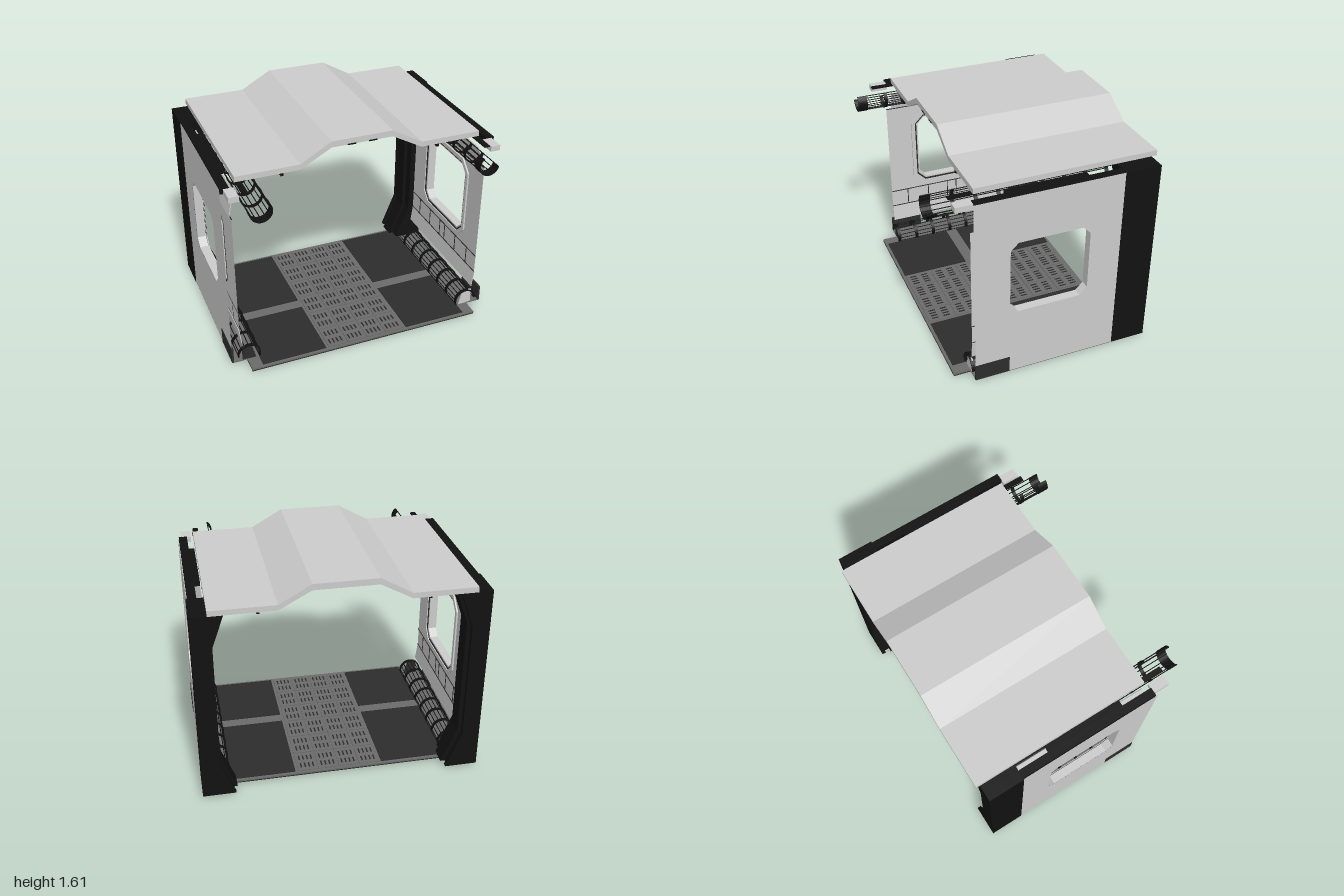
import * as THREE from 'three';

const mat = (color, side = THREE.FrontSide) => new THREE.MeshStandardMaterial({ color, side, flatShading: true });
const grey = mat(0xcccccc), greyThin = mat(0xcccccc, THREE.DoubleSide);
const black = mat(0x111111), blackThin = mat(0x111111, THREE.DoubleSide);
const dark = mat(0x2c2c2c), mid = mat(0x6a6a6a);

function add(parent, name, geometry, material) {
  const mesh = new THREE.Mesh(geometry, material);
  mesh.name = name;
  parent.add(mesh);
  return mesh;
}

// Box given by its limits on each axis
function box(parent, name, material, x0, x1, y0, y1, z0, z1) {
  const g = new THREE.BoxGeometry(x1 - x0, y1 - y0, z1 - z0);
  g.translate((x0 + x1) / 2, (y0 + y1) / 2, (z0 + z1) / 2);
  return add(parent, name, g, material);
}

const points = (list) => list.map(([x, y]) => new THREE.Vector2(x, y));

// Profile in x/y, swept along z
function sweepZ(parent, name, material, profile, z0, z1) {
  const g = new THREE.ExtrudeGeometry(new THREE.Shape(points(profile)), { depth: z1 - z0, bevelEnabled: false });
  g.translate(0, 0, z0);
  return add(parent, name, g, material);
}

// Outline with a chamfer, drawn in (-z, y)
function chamfered(u0, u1, y0, y1, c) {
  return points([[u0 + c, y0], [u1 - c, y0], [u1, y0 + c], [u1, y1 - c],
    [u1 - c, y1], [u0 + c, y1], [u0, y1 - c], [u0, y0 + c]]);
}
const windowOutline = (grow) => chamfered(-0.29 - grow, 0.28 + grow, 0.53 - grow, 1.085 + grow, 0.055 + grow * 0.6);

// Flat part standing in the z/y plane with a window opening
function pierced(parent, name, material, outline, hole, x, depth) {
  const shape = new THREE.Shape(outline);
  shape.holes.push(new THREE.Path(hole));
  const g = depth ? new THREE.ExtrudeGeometry(shape, { depth, bevelEnabled: false }) : new THREE.ShapeGeometry(shape);
  g.rotateY(Math.PI / 2);
  g.translate(x, 0, 0);
  return add(parent, name, g, material);
}

// Open half-round cage of hoops and rods running along z
function cage(parent, name, cx, cy, r, a0, a1, z0, z1, hoops, rods, endWidth) {
  const group = new THREE.Group();
  group.name = name;
  for (let i = 0; i < hoops; i++) {
    const w = i === hoops - 1 ? endWidth : 0.025;
    const z = z0 + (z1 - z0 - endWidth) * i / (hoops - 1);
    const shape = new THREE.Shape();
    shape.absarc(0, 0, r, a0, a1, false);
    shape.absarc(0, 0, r - 0.007, a1, a0, true);
    const g = new THREE.ExtrudeGeometry(shape, { depth: w, bevelEnabled: false, curveSegments: 12 });
    g.translate(cx, cy, z);
    add(group, 'hoop', g, black);
  }
  for (let i = 0; i < rods; i++) {
    const a = a0 + (a1 - a0) * i / (rods - 1);
    const g = new THREE.CylinderGeometry(0.0035, 0.0035, z1 - z0, 5);
    g.rotateX(Math.PI / 2);
    g.translate(cx + Math.cos(a) * (r - 0.006), cy + Math.sin(a) * (r - 0.006), (z0 + z1) / 2);
    add(group, 'rod', g, black);
  }
  parent.add(group);
}

// One side: wall, window, rear pillar and cages, built on +x
function buildSide(name) {
  const side = new THREE.Group();
  side.name = name;

  // Outer skin and inner lining, with the space between left open
  pierced(side, 'outerPanel', grey, points([[-0.54, 0.02], [0.51, 0.02], [0.51, 1.437], [-0.54, 1.437]]), windowOutline(0.01), 0.996, 0);
  pierced(side, 'innerPanel', greyThin, points([[-0.54, 0.3], [0.51, 0.3], [0.51, 1.2], [-0.54, 1.2]]), windowOutline(0), 0.932, 0);
  pierced(side, 'windowReveal', grey, windowOutline(0.012), windowOutline(0), 0.932, 0.063);
  pierced(side, 'innerWindowFrame', grey, windowOutline(0.055), windowOutline(0.025), 0.92, 0.012);
  pierced(side, 'windowSeal', dark, windowOutline(0.025), windowOutline(0.012), 0.927, 0.006);

  // Lining coves above and below the window panel
  sweepZ(side, 'lowerCove', grey, [[0.932, 0.3], [0.915, 0.17], [0.921, 0.17], [0.938, 0.3]], -0.51, 0.54);
  sweepZ(side, 'upperCove', grey, [[0.938, 1.2], [0.92, 1.3], [0.89, 1.36], [0.885, 1.355], [0.913, 1.297], [0.932, 1.2]], -0.51, 0.5);

  // Seams on the lining
  for (const y of [0.3, 0.44, 1.2]) box(side, 'liningSeam', dark, 0.928, 0.933, y, y + 0.006, -0.51, 0.54);
  for (const z of [-0.38, -0.2, -0.03, 0.05, 0.22, 0.4]) box(side, 'liningSeam', dark, 0.928, 0.933, 0.3, 0.44, z, z + 0.006);

  // Top beam, bracket and foot
  box(side, 'topBeam', black, 0.93, 0.99, 1.395, 1.436, -0.62, 0.53);
  box(side, 'topBeamCover', black, 0.89, 0.93, 1.41, 1.436, -0.28, 0.3);
  box(side, 'topBracket', grey, 0.9, 0.97, 1.39, 1.43, 0.53, 0.65);
  box(side, 'footPatch', dark, 0.985, 1, 0.02, 0.145, 0.29, 0.542);
  box(side, 'wallBase', mid, 0.88, 0.995, 0.015, 0.025, -0.51, 0.54);
  box(side, 'roofSeat', black, 0.84, 0.88, 1.437, 1.446, -0.64, 0.66);

  // Rear pillar, layered so that the middle stands furthest into the room
  const layers = [[-0.58, -0.51, 0.03], [-0.7, -0.58, 0], [-0.74, -0.7, 0.035], [-0.77, -0.74, 0.015]];
  for (const [z0, z1, d] of layers) {
    sweepZ(side, 'rearPillar', black, [[1, 0.02], [1, 1.437], [0.765 + d, 1.437], [0.86 + d, 1.17], [0.86 + d, 0.29], [0.75 + d, 0.02]], z0, z1);
  }

  // Half-round cages along the upper and lower corners
  cage(side, 'upperCage', 0.805, 1.375, 0.077, Math.PI * 0.72, Math.PI * 1.92, -0.52, 0.8, 9, 9, 0.07);
  cage(side, 'lowerCage', 0.87, 0.06, 0.085, 0, Math.PI * 1.12, -0.52, 0.55, 8, 10, 0.025);
  return side;
}

export function createModel() {
  const model = new THREE.Group();

  // Floor slab with a dark underside
  const floor = new THREE.Group();
  floor.name = 'floor';
  model.add(floor);
  box(floor, 'floorUnderside', dark, -0.885, 0.885, 0, 0.008, -0.64, 0.66);
  box(floor, 'floorSlab', mid, -0.885, 0.885, 0.008, 0.02, -0.64, 0.66);
  for (const s of [-1, 1]) {
    for (const [z0, z1] of [[-0.62, 0.03], [0.12, 0.64]]) {
      box(floor, 'darkFloorPanel', dark, Math.min(s * 0.32, s * 0.8), Math.max(s * 0.32, s * 0.8), 0.019, 0.024, z0, z1);
    }
  }
  // Central treads: raised panels with rows of short slots
  for (let i = 0; i < 4; i++) {
    for (let j = 0; j < 6; j++) {
      const x = -0.3 + i * 0.152, z = -0.62 + j * 0.212;
      box(floor, 'treadPanel', mid, x, x + 0.144, 0.019, 0.026, z, z + 0.2);
      for (let k = 0; k < 8; k++) {
        const sx = x + 0.02 + (k % 4) * 0.03, sz = z + 0.03 + Math.floor(k / 4) * 0.09;
        box(floor, 'treadSlot', dark, sx, sx + 0.01, 0.025, 0.029, sz, sz + 0.05);
      }
    }
  }

  // Both sides
  model.add(buildSide('leftSide'));
  const right = buildSide('rightSide');
  right.scale.x = -1;
  model.add(right);
  // Front foot plates, pale on one side and dark on the other
  const foot = [[0.82, 0.022], [0.92, 0.022], [0.92, 0.14], [0.85, 0.14]];
  sweepZ(model, 'leftFootPlate', grey, foot, 0.53, 0.54);
  sweepZ(model, 'rightFootPlate', dark, foot.map(([x, y]) => [-x, y]), 0.53, 0.54);

  // Roof with a raised centre
  const roof = new THREE.Group();
  roof.name = 'roof';
  model.add(roof);
  const top = [[-0.885, 1.485], [-0.44, 1.485], [-0.22, 1.61], [0.22, 1.61], [0.44, 1.485], [0.885, 1.485]];
  const under = [[0.885, 1.446], [0.44, 1.446], [0.22, 1.566], [-0.22, 1.566], [-0.44, 1.446], [-0.885, 1.446]];
  sweepZ(roof, 'roofShell', grey, [...top, ...under], -0.8, 0.5);

  // Ceiling rails, light frame and seams
  for (const s of [-1, 1]) {
    box(roof, 'ceilingRail', black, s * 0.565 - 0.01, s * 0.565 + 0.01, 1.425, 1.446, -0.78, 0.5);
    box(roof, 'frameSide', black, s * 0.14 - 0.02, s * 0.14 + 0.02, 1.555, 1.564, -0.5, 0.3);
    box(roof, 'frameEnd', black, -0.16, 0.16, 1.555, 1.564, -0.1 + s * 0.4 - 0.02, -0.1 + s * 0.4 + 0.02);
    box(roof, 'ceilingFitting', black, s * 0.075 - 0.03, s * 0.075 + 0.03, 1.562, 1.572, -0.45, 0.501);
  }
  for (const z of [-0.55, -0.12, 0.3]) {
    for (const s of [-1, 1]) {
      const seam = [[0.22, 1.566], [0.44, 1.446], [0.44, 1.443], [0.22, 1.563]].map(([x, y]) => [s * x, y]);
      sweepZ(roof, 'ceilingSeam', blackThin, seam, z, z + 0.006);
    }
  }
  return model;
}
